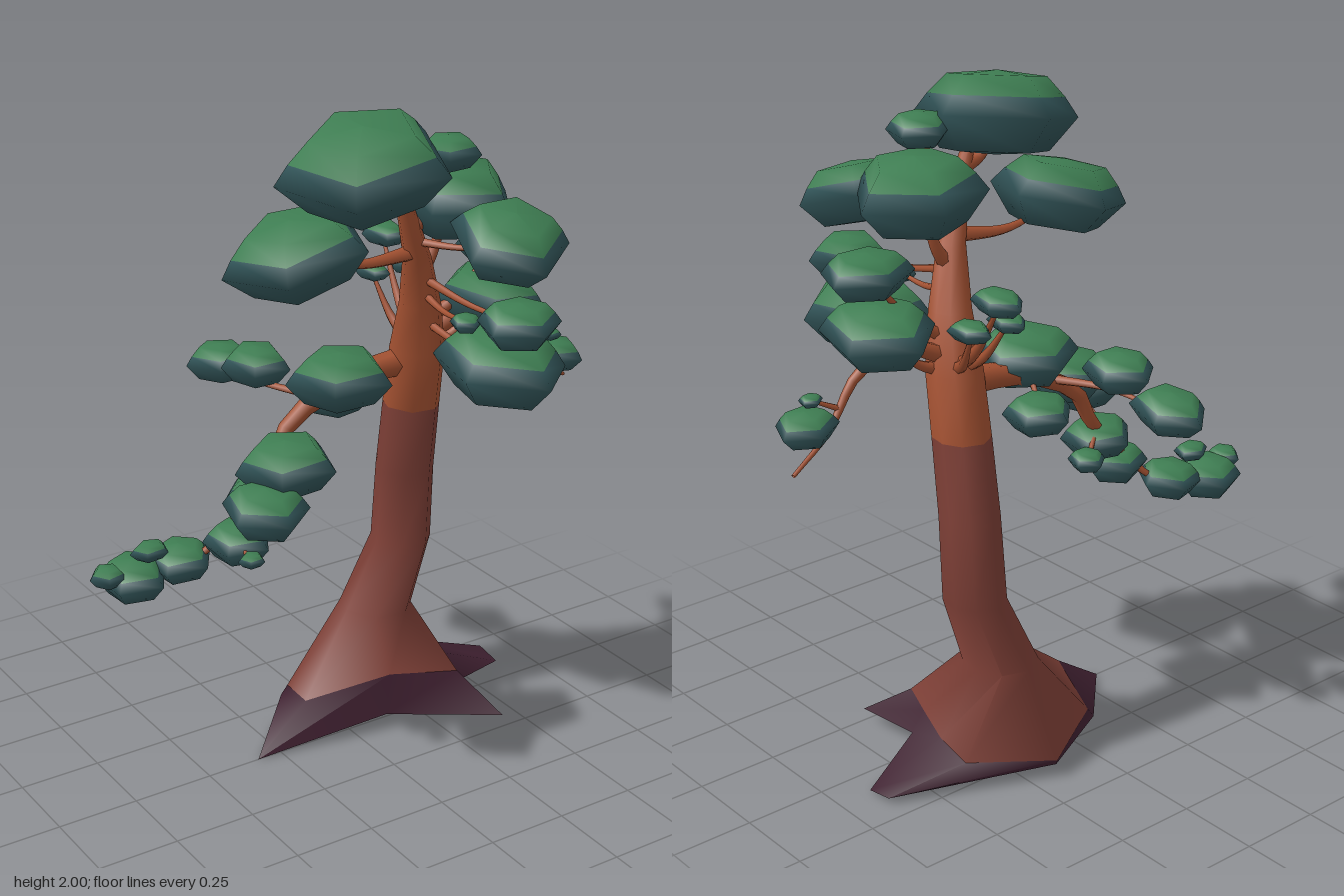
import * as THREE from 'three';
import { toCreasedNormals } from 'three/addons/utils/BufferGeometryUtils.js';

const mat = (name, color, side = THREE.FrontSide) => {
  const m = new THREE.MeshStandardMaterial({ color, side });
  m.name = name;
  return m;
};
const curveThrough = (points) => new THREE.CatmullRomCurve3(points.map((p) => new THREE.Vector3(...p)));

// Skin a stack of equal-length rings
function loft(rings) {
  const n = rings[0].length, idx = [];
  for (let r = 0; r < rings.length - 1; r++) {
    for (let i = 0; i < n; i++) {
      const j = (i + 1) % n, a = r * n + i, b = r * n + j;
      idx.push(a, b, b + n, a, b + n, a + n);
    }
  }
  const g = new THREE.BufferGeometry();
  g.setAttribute('position', new THREE.Float32BufferAttribute(rings.flat(2), 3));
  g.setIndex(idx);
  return toCreasedNormals(g, 1.25);
}

// Tapered tube along a curve
function branchGeometry(curve, r0, r1) {
  const seg = 14, sides = 6;
  const g = new THREE.TubeGeometry(curve, seg, 1, sides);
  const p = g.attributes.position, v = new THREE.Vector3();
  for (let i = 0; i < p.count; i++) {
    const t = Math.floor(i / (sides + 1)) / seg;
    const c = curve.getPointAt(t);
    v.fromBufferAttribute(p, i).sub(c).multiplyScalar(r1 + (r0 - r1) * (1 - t) ** 1.5).add(c);
    p.setXYZ(i, v.x, v.y, v.z);
  }
  return g;
}

// Smooth five-sided foliage piece of unit half-extents
function padGeometry(profile) {
  const g = new THREE.LatheGeometry(profile.map((p) => new THREE.Vector2(...p)), 5, Math.PI);
  return g.translate(0, 0, 0.095).scale(1 / 0.951, 1, 1 / 0.905);
}

export function createModel() {
  const tree = new THREE.Group();
  tree.name = 'tree';
  const rootMat = mat('dark root', 0x3f2030, THREE.DoubleSide);
  const barkMat = mat('red bark', 0x7d3f36, THREE.DoubleSide);
  const upperMat = mat('orange bark', 0xa55232, THREE.DoubleSide);
  const greenMat = mat('leaf green', 0x3e7d52);
  const tealMat = mat('leaf shade', 0x33565a);
  const add = (name, geo, m, parent = tree) => {
    const mesh = new THREE.Mesh(geo, m);
    mesh.name = name;
    parent.add(mesh);
  };

  // Flared foot: rim runs out to pointed left and front roots, a blunt right one and a short back one
  const flare = [
    [-0.14, 0.14, -0.03], [0.12, 0.19, 0.05], [0.34, 0.16, 0.1], [0.37, 0.14, 0],
    [0.4, 0.11, -0.12], [0.41, 0.09, -0.25], [0.17, 0.065, -0.38], [-0.08, 0.08, -0.235],
  ];
  const rim = [
    [-0.33, 0.01, 0], [0.1, 0.06, 0.06], [0.41, 0.05, 0.25], [0.4, 0.065, 0.02],
    [0.64, 0.015, -0.09], [0.64, 0.03, -0.18], [0.17, 0.05, -0.375], [-0.1, 0.05, -0.24],
  ];
  const underside = flare.map(() => [0.2, 0.08, -0.1]);
  add('roots', loft([underside, rim, flare]), rootMat);

  // Trunk sections: x, y, z, radius; angles line up with the foot
  const sections = [
    [0.205, 0.33, -0.16, 0.108], [0.288, 0.55, -0.145, 0.09], [0.28, 0.8, -0.115, 0.086],
    [0.27, 1.03, -0.07, 0.083], [0.262, 1.22, -0.03, 0.08], [0.235, 1.38, 0.02, 0.06],
    [0.18, 1.55, 0.08, 0.04], [0.1, 1.73, 0.13, 0.024], [0.05, 1.85, 0.14, 0.015],
  ];
  const angles = [180, 125, 70, 30, -10, -50, -95, -140].map(THREE.MathUtils.degToRad);
  const rings = sections.map(([x, y, z, r]) =>
    angles.map((t) => [x + r * Math.cos(t), y, z + 1.12 * r * Math.sin(t)]));
  add('trunk', loft([flare, ...rings.slice(0, 4)]), barkMat);
  add('upperTrunk', loft(rings.slice(3)), upperMat);

  // Main limbs: a drooping one, its back fork and a long thin one
  const crown = curveThrough(sections.slice(4).map((s) => s.slice(0, 3)));
  const droop = curveThrough([[0.22, 1.18, -0.05], [0.05, 1.16, -0.06], [-0.15, 1.06, -0.08],
    [-0.22, 0.94, -0.08], [-0.38, 0.78, -0.06], [-0.52, 0.66, -0.12], [-0.74, 0.68, -0.12]]);
  const fork = curveThrough([[-0.06, 1.12, -0.07], [-0.14, 1.12, -0.25], [-0.16, 1.1, -0.5]]);
  const reach = curveThrough([[0.28, 1.26, -0.02], [0.42, 1.31, 0], [0.55, 1.26, 0.03],
    [0.66, 1.11, 0.03], [0.8, 1.03, 0]]);
  add('droopingLimb', branchGeometry(droop, 0.042, 0.006), upperMat);
  add('backLimb', branchGeometry(fork, 0.015, 0.006), upperMat);
  add('longLimb', branchGeometry(reach, 0.03, 0.006), upperMat);

  // Twig from the nearest point of a limb, sagging out to a pad
  function addTwig(limb, end, drop, radius) {
    const target = end.clone();
    target.y -= drop;
    const start = limb.getPoints(40).reduce((a, b) =>
      (b.distanceToSquared(target) < a.distanceToSquared(target) ? b : a));
    const mid = start.clone().lerp(end, 0.5);
    mid.y -= drop * 0.2;
    add('twig', branchGeometry(new THREE.CatmullRomCurve3([start, mid, end]), radius, 0.006), upperMat);
  }

  // Foliage pad: position, half width and half depth, optional tilts and turn
  const topGeo = padGeometry([[0.83, 0.4], [0.6, 0.88], [0, 1]]);
  const underGeo = padGeometry([[0, -1], [0.66, -0.9], [1, -0.08], [0.83, 0.4]]);
  const growPads = (limb, drop, radius, pads) => pads.forEach(
    ([x, y, z, w, d, roll = 0, pitch = 0, turn = w < 0.13 ? 0.25 * Math.sin(40 * x) : 0]) => {
      const pad = new THREE.Group();
      pad.name = 'foliagePad';
      pad.position.set(x, y, z);
      pad.rotation.set(pitch, z > 0.18 ? Math.PI : turn, roll);
      pad.scale.set(w, 0.56 * Math.min(w, d), d);
      add('foliageTop', topGeo, greenMat, pad);
      add('foliageUnderside', underGeo, tealMat, pad);
      tree.add(pad);
      addTwig(limb, pad.position, drop, radius);
    });

  // Crown and back pads
  growPads(crown, 0.2, 0.026, [
    [-0.05, 1.875, 0.135, 0.25, 0.215, 0.17, 0.15], [-0.21, 1.625, 0.04, 0.215, 0.18, 0.24],
    [0.3, 1.715, 0.065, 0.19, 0.2, -0.08, 0, -0.3], [0.225, 1.87, 0.15, 0.095, 0.085],
    [0.505, 1.535, 0.03, 0.138, 0.11], [0.475, 1.36, 0.015, 0.15, 0.18, -0.1],
    [0.315, 1.5, -0.3, 0.06, 0.085], [0.235, 1.41, -0.24, 0.045, 0.065],
    [0.36, 1.41, -0.235, 0.05, 0.065],
  ]);
  // Front pads on thin twigs
  growPads(crown, 0.08, 0.014, [
    [0.29, 1.65, 0.385, 0.17, 0.16, 0, 0.3], [0.27, 1.295, 0.395, 0.175, 0.205, 0.06],
    [0.27, 1.44, 0.46, 0.12, 0.11], [0.2, 1.41, 0.3, 0.045, 0.045],
  ]);
  growPads(reach, 0, 0.01, [[0.715, 1.135, 0.045, 0.09, 0.085, -0.1], [0.69, 1.205, 0.06, 0.036, 0.03]]);
  growPads(fork, 0, 0.01, [[-0.155, 1.18, -0.28, 0.1, 0.105], [-0.155, 1.12, -0.49, 0.1, 0.115, 0, -0.12]]);
  growPads(droop, 0, 0.012, [
    [-0.02, 1.19, -0.03, 0.16, 0.14], [0.055, 1.07, -0.17, 0.105, 0.095],
    [-0.285, 1.025, 0.1, 0.145, 0.135, 0.06], [-0.4, 0.94, 0.2, 0.12, 0.13],
    [-0.275, 0.875, -0.06, 0.115, 0.1, -0.06], [-0.155, 0.855, -0.14, 0.055, 0.055],
    [-0.37, 0.755, -0.03, 0.1, 0.1], [-0.4, 0.75, 0.1, 0.04, 0.035],
    [-0.51, 0.69, -0.13, 0.1, 0.095, 0.08], [-0.655, 0.665, -0.15, 0.105, 0.105],
    [-0.75, 0.7, -0.125, 0.052, 0.052], [-0.615, 0.75, -0.115, 0.06, 0.045],
  ]);
  return tree;
}
